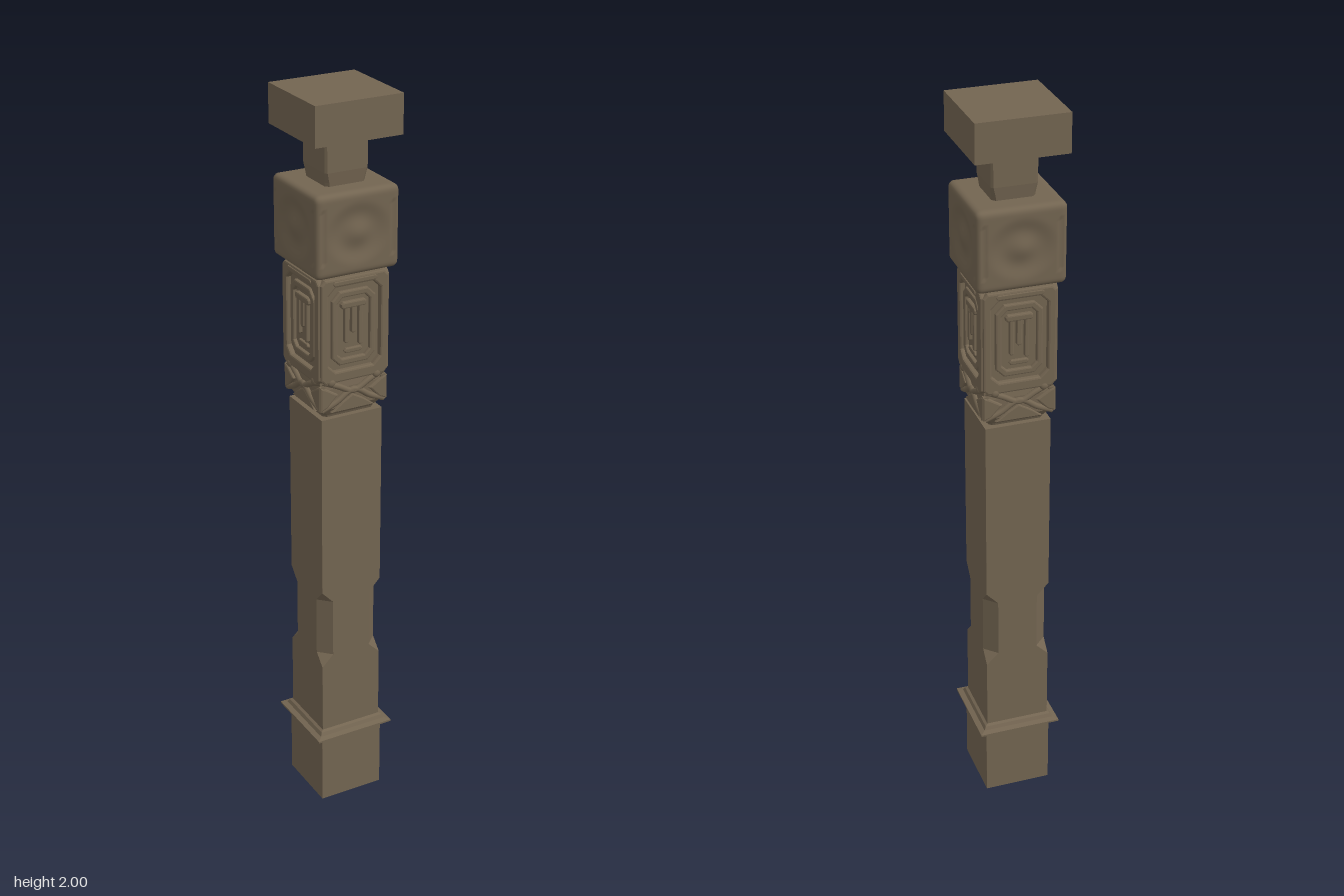
import * as THREE from 'three';
import { mergeVertices } from 'three/addons/utils/BufferGeometryUtils.js';

const wood = new THREE.MeshStandardMaterial({ color: 0x736551 });

function add(parent, name, geometry) {
  const mesh = new THREE.Mesh(geometry, wood);
  mesh.name = name;
  parent.add(mesh);
  return mesh;
}

// Square section with chamfered corners, lofted through rows of [y, halfWidth, chamfer]
function loft(rows) {
  const rings = rows.map(([y, h, c = 0.0003]) => {
    const k = h - c;
    return [[h, k], [k, h], [-k, h], [-h, k], [-h, -k], [-k, -h], [k, -h], [h, -k]]
      .map(([x, z]) => [x, y, z]);
  });
  const pos = [];
  const tri = (a, b, c) => pos.push(...a, ...b, ...c);
  for (let r = 0; r < rings.length - 1; r++) {
    const lo = rings[r], hi = rings[r + 1];
    for (let i = 0; i < 8; i++) {
      const j = (i + 1) % 8;
      tri(lo[i], hi[i], hi[j]);
      tri(lo[i], hi[j], lo[j]);
    }
  }
  const bottom = rings[0], top = rings[rings.length - 1];
  for (let i = 1; i < 7; i++) {
    tri(bottom[0], bottom[i], bottom[i + 1]);
    tri(top[0], top[i + 1], top[i]);
  }
  const g = new THREE.BufferGeometry();
  g.setAttribute('position', new THREE.Float32BufferAttribute(pos, 3));
  g.computeVertexNormals();
  return g;
}

// Rectangle with cut corners, as points
function cutRect(w, y0, y1, c) {
  return [[-w + c, y0], [w - c, y0], [w, y0 + c], [w, y1 - c], [w - c, y1],
    [-w + c, y1], [-w, y1 - c], [-w, y0 + c]].map(p => new THREE.Vector2(...p));
}

// Bevelled relief plate lying on a face, from depth z0 outwards
function relief(points, z0, depth, bevel, hole) {
  const shape = new THREE.Shape(points);
  if (hole) shape.holes.push(new THREE.Path(hole));
  const g = new THREE.ExtrudeGeometry(shape, {
    depth: depth - bevel, bevelEnabled: true, bevelThickness: bevel,
    bevelSize: bevel, bevelOffset: -bevel, bevelSegments: 2, curveSegments: 8
  });
  return g.translate(0, 0, z0);
}

const vecs = list => list.map(p => new THREE.Vector2(...p));

function ridge(points, radius) {
  const curve = new THREE.CatmullRomCurve3(points.map(([x, y, z]) => new THREE.Vector3(x, y, z)));
  return new THREE.TubeGeometry(curve, 20, radius, 8);
}

// One carved side of the ornamental section, facing +z
function carvedFace() {
  const face = new THREE.Group();
  face.name = 'carvedFace';
  add(face, 'panelFrame', relief(cutRect(0.096, 1.275, 1.553, 0.012), 0.084, 0.018, 0.005,
    cutRect(0.074, 1.305, 1.53, 0.02)));
  add(face, 'innerFrame', relief(cutRect(0.062, 1.318, 1.515, 0.022), 0.082, 0.015, 0.004,
    cutRect(0.046, 1.335, 1.498, 0.014)));
  add(face, 'headStrip', relief(cutRect(0.062, 1.535, 1.547, 0.004), 0.095, 0.01, 0.002));

  // Upright motif within the panel
  add(face, 'motifBar', relief(cutRect(0.036, 1.468, 1.486, 0.005), 0.082, 0.016, 0.004));
  for (const [x, y0, w] of [[-0.02, 1.375, 0.006], [0, 1.4, 0.007], [0.02, 1.365, 0.006]]) {
    add(face, 'motifUpright', relief(cutRect(w, y0, 1.475, 0.004), 0.082, 0.015, 0.003).translate(x, 0, 0));
  }
  add(face, 'motifFoot', relief(cutRect(0.026, 1.347, 1.36, 0.005), 0.082, 0.013, 0.003));

  // Crossing curves and bosses under the panel
  add(face, 'lowerArch', ridge([[-0.09, 1.2, 0.09], [-0.05, 1.218, 0.093], [0, 1.246, 0.094],
    [0.05, 1.218, 0.093], [0.09, 1.2, 0.09]], 0.008));
  add(face, 'upperArch', ridge([[-0.088, 1.28, 0.09], [-0.045, 1.262, 0.093], [0, 1.242, 0.094],
    [0.045, 1.262, 0.093], [0.088, 1.28, 0.09]], 0.008));
  add(face, 'archFill', relief(vecs([[-0.062, 1.19], [0.062, 1.19], [0.03, 1.215], [0, 1.232], [-0.03, 1.215]]),
    0.084, 0.01, 0.004));
  for (const s of [-1, 1]) {
    const corner = [[0.096, 1.2], [0.096, 1.268], [0.08, 1.262], [0.045, 1.24], [0.075, 1.208]];
    const pts = vecs(corner.map(([x, y]) => [s * x, y]));
    add(face, 'cornerLeaf', relief(pts, 0.084, 0.015, 0.005));
    const boss = add(face, 'boss', new THREE.SphereGeometry(0.011, 14, 10));
    boss.position.set(s * 0.065, 1.277, 0.098);
    boss.scale.z = 0.6;
  }
  return face;
}

// Soft-edged block whose four sides carry a shallow rippled dish
function rippledBlock(hx, hy, r) {
  const n = 36;
  let g = new THREE.BoxGeometry(hx * 2, hy * 2, hx * 2, n, n, n);
  g.deleteAttribute('uv');
  g.deleteAttribute('normal');
  g = mergeVertices(g, 1e-5);
  const p = g.attributes.position;
  const half = new THREE.Vector3(hx, hy, hx);
  const inner = half.clone().subScalar(r);
  const v = new THREE.Vector3(), c = new THREE.Vector3();
  for (let i = 0; i < p.count; i++) {
    v.fromBufferAttribute(p, i);
    c.copy(v).clamp(inner.clone().negate(), inner);
    const d = v.clone().sub(c).setLength(r);
    const axis = Math.abs(v.x) > hx - 1e-4 ? 'x' : Math.abs(v.z) > hx - 1e-4 ? 'z' : null;
    const u = axis === 'x' ? v.z : v.x;
    v.copy(c).add(d);
    if (axis && Math.abs(u) < hx - r && Math.abs(c.y) < inner.y) {
      const q = Math.hypot(u / 0.095, c.y / 0.085);
      let sink = q < 1 ? 0.0035 * (1 - Math.cos(q * Math.PI * 2)) : 0;
      // Fine upright groove beside each edge
      if (Math.abs(Math.abs(u) - 0.097) < 0.004 && Math.abs(c.y) < 0.07) sink += 0.004;
      v[axis] -= Math.sign(v[axis]) * sink;
    }
    p.setXYZ(i, v.x, v.y, v.z);
  }
  g.computeVertexNormals();
  return g;
}

export function createModel() {
  const post = new THREE.Group();
  post.name = 'carvedPost';

  add(post, 'base', loft([[0, 0.092], [0.206, 0.092]]));
  add(post, 'collar', loft([[0.2, 0.092], [0.208, 0.114], [0.213, 0.114], [0.217, 0.1],
    [0.226, 0.095], [0.23, 0.088]]));

  // Shaft with a stopped chamfer on every corner
  const w = 0.088, cut = 0.033;
  add(post, 'shaft', loft([[0.2, w], [0.432, w], [0.465, w, cut], [0.63, w, cut],
    [0.665, w], [1.172, w]]));

  // Ornamental section
  add(post, 'carvedCore', loft([[1.165, 0.07, 0.008], [1.178, 0.075, 0.01], [1.2, 0.09, 0.008],
    [1.255, 0.091, 0.006], [1.275, 0.087, 0.01], [1.3, 0.087, 0.008], [1.55, 0.087, 0.008],
    [1.565, 0.08, 0.008]]));
  for (let i = 0; i < 4; i++) {
    const face = carvedFace();
    face.rotation.y = i * Math.PI / 2;
    post.add(face);
  }

  add(post, 'rippledBlock', rippledBlock(0.117, 0.107, 0.016)).position.y = 1.668;
  add(post, 'neck', loft([[1.76, 0.054, 0.01], [1.785, 0.057, 0.009], [1.81, 0.06, 0.006],
    [1.905, 0.06, 0.004]]));
  add(post, 'cap', new THREE.BoxGeometry(0.24, 0.102, 0.24)).position.y = 1.949;
  return post;
}
